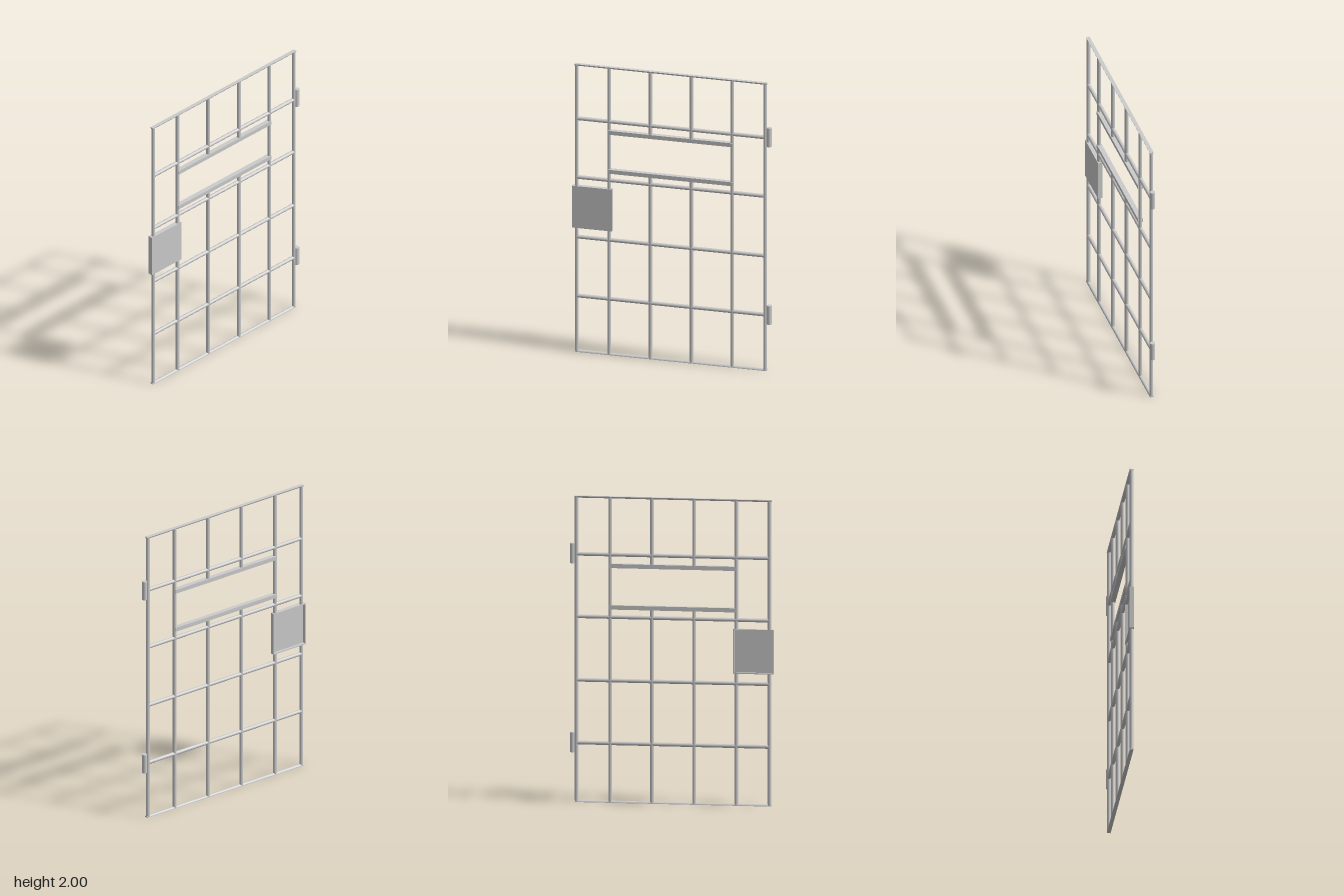
import * as THREE from 'three';

const R = 0.0125;              // bar radius
const FRONT = 0.641, BACK = -0.62; // outer upright centres along z

export function createModel() {
  const gate = new THREE.Group();
  gate.name = 'barredGate';
  const mat = new THREE.MeshStandardMaterial({ color: 0xcccccc });

  function add(name, geo, x, y, z) {
    const mesh = new THREE.Mesh(geo, mat);
    mesh.name = name;
    mesh.position.set(x, y, z);
    gate.add(mesh);
    return mesh;
  }
  const upright = (name, z, y0, y1, r = R) =>
    add(name, new THREE.CylinderGeometry(r, r, y1 - y0, 16), 0, (y0 + y1) / 2, z);

  // Full-height uprights; the two nearest the lock are interrupted by it
  upright('hingeUpright', BACK, 0, 2);
  upright('slotUpright', -0.4, 0, 2);
  for (const [name, z] of [['lockUpright', FRONT], ['slotUpright', 0.424]]) {
    upright(name, z, 0, 0.87);
    upright(name, z, 1.147, 2);
  }

  // Middle uprights stop at the opening
  for (const z of [0.148, -0.127]) {
    upright('lowerBar', z, 0, 1.277);
    upright('upperBar', z, 1.548, 2);
  }

  // Crossbars
  for (const y of [0.388, 0.798, 1.213, 1.621]) {
    const bar = add('crossbar', new THREE.CylinderGeometry(R, R, FRONT - BACK, 16),
      0, y, (FRONT + BACK) / 2);
    bar.rotation.x = Math.PI / 2;
  }

  // Top and bottom rails: half-round with the flat side outward
  const half = new THREE.Shape();
  half.absarc(0, 0, R, 0, Math.PI, false);
  half.closePath();
  const length = FRONT - BACK + 2 * R;
  const railGeo = new THREE.ExtrudeGeometry(half,
    { depth: length, bevelEnabled: false, curveSegments: 10 });
  railGeo.translate(0, 0, -length / 2);
  add('bottomRail', railGeo, 0, 0, (FRONT + BACK) / 2);
  add('topRail', railGeo, 0, 2, (FRONT + BACK) / 2).rotation.z = Math.PI;

  // Flat bars edging the pass-through opening
  for (const y of [1.277, 1.548])
    add('openingEdge', new THREE.BoxGeometry(0.032, 0.027, 0.832), 0, y, 0.011);

  // Lock case: a plate with a raised rim around a recess on the -x side
  const w = 0.265, h = 0.291, t = 0.007, lockY = 1.0085, lockZ = 0.535;
  add('lockPlate', new THREE.BoxGeometry(0.011, h, w), 0.0095, lockY, lockZ);
  for (const s of [-1, 1]) {
    add('lockRim', new THREE.BoxGeometry(0.019, h, t), -0.0055, lockY, lockZ + s * (w - t) / 2);
    add('lockRim', new THREE.BoxGeometry(0.019, t, w - 2 * t), -0.0055, lockY + s * (h - t) / 2, lockZ);
  }

  // Hinge barrels
  for (const y of [0.39, 1.625]) upright('hinge', -0.647, y - 0.065, y + 0.065, 0.0165);

  return gate;
}
